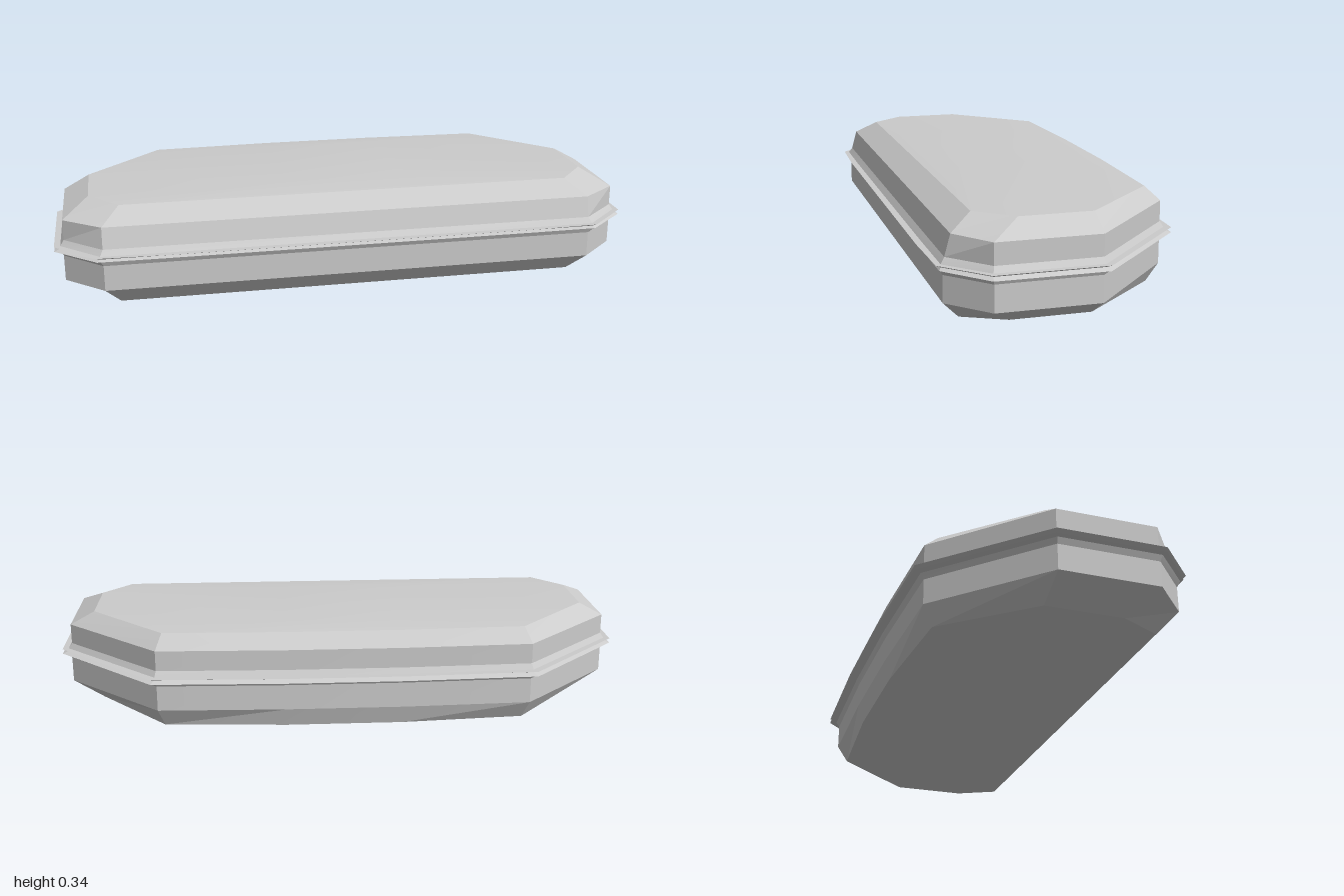
import * as THREE from 'three';
import { toCreasedNormals } from 'three/addons/utils/BufferGeometryUtils.js';

// One mirrored 12-sided outline at height y. Half points run front to back on +x as [x, z].
function ring(y, half) {
  const right = half.map(([x, z]) => new THREE.Vector3(x, y, z));
  const left = half.map(([x, z]) => new THREE.Vector3(-x, y, z)).reverse();
  return [...right, ...left];
}

// Skins a stack of outlines, bottom to top, skipping collapsed triangles; caps are optional.
function loft(name, rings, { capBottom = false, capTop = false } = {}) {
  const pos = [];
  const tri = (a, b, c) => {
    const area = b.clone().sub(a).cross(c.clone().sub(a)).length();
    if (area > 1e-7) for (const p of [a, b, c]) pos.push(p.x, p.y, p.z);
  };
  const n = rings[0].length;
  for (let r = 0; r < rings.length - 1; r++) {
    for (let i = 0; i < n; i++) {
      const j = (i + 1) % n;
      const lo = rings[r], hi = rings[r + 1];
      tri(lo[i], lo[j], hi[j]);
      tri(lo[i], hi[j], hi[i]);
    }
  }
  const cap = (points, up) => {
    const centre = new THREE.Vector3(0, points[0].y, 0);
    points.forEach((p, i) => {
      const q = points[(i + 1) % n];
      if (up) tri(centre, p, q); else tri(centre, q, p);
    });
  };
  if (capBottom) cap(rings[0], false);
  if (capTop) cap(rings[rings.length - 1], true);

  let geometry = new THREE.BufferGeometry();
  geometry.setAttribute('position', new THREE.Float32BufferAttribute(pos, 3));
  geometry = toCreasedNormals(geometry, 0.15);
  const mesh = new THREE.Mesh(geometry,
    new THREE.MeshStandardMaterial({ color: 0xcccccc, side: THREE.DoubleSide }));
  mesh.name = name;
  return mesh;
}

export function createModel() {
  const group = new THREE.Group();
  group.name = 'case';

  // Shared outlines, half of each
  const wall = [[0.6, 0.4], [0.84, 0.4], [0.97, 0.278], [0.97, -0.06], [0.64, -0.38], [0.2, -0.395]];
  const seam = [[0.6, 0.41], [0.85, 0.408], [0.98, 0.283], [0.98, -0.063], [0.645, -0.392], [0.2, -0.406]];
  const lipTop = [[0.63, 0.432], [0.86, 0.424], [1, 0.29], [1, -0.072], [0.657, -0.415], [0.2, -0.432]];
  const lipLow = [[0.63, 0.416], [0.86, 0.414], [1, 0.288], [1, -0.072], [0.657, -0.415], [0.2, -0.432]];

  // Lower shell with a bevelled base
  const base = [[0.58, 0.34], [0.79, 0.34], [0.86, 0.2], [0.86, -0.065], [0.62, -0.345], [0.2, -0.375]];
  group.add(loft('lowerShell', [
    ring(0, base), ring(0.065, wall), ring(0.153, wall), ring(0.173, seam),
  ], { capBottom: true }));

  // Rim flange: two lips with a shallow groove between
  group.add(loft('rimFlange', [
    ring(0.172, seam), ring(0.172, lipLow), ring(0.18, seam), ring(0.189, lipTop), ring(0.189, seam),
  ], { capBottom: true, capTop: true }));

  // Lid: stepped wall, wide bevel, and a gently crowned top
  const lidWall = [[0.6, 0.394], [0.84, 0.394], [0.967, 0.278], [0.967, -0.06], [0.64, -0.38], [0.2, -0.395]];
  const shoulder = [[0.6, 0.375], [0.84, 0.375], [0.967, 0.278], [0.967, -0.06], [0.64, -0.38], [0.2, -0.395]];
  const topEdge = [[0.58, 0.298], [0.78, 0.298], [0.88, 0.18], [0.88, -0.06], [0.62, -0.33], [0.2, -0.345]];
  const crown = [[0.2, 0.185], [0.2, 0.185], [0.2, 0.185], [0.2, -0.25], [0.2, -0.25], [0.2, -0.25]];
  group.add(loft('lid', [
    ring(0.188, seam), ring(0.208, lidWall), ring(0.278, shoulder), ring(0.326, topEdge), ring(0.337, crown),
  ], { capTop: true }));

  return group;
}
